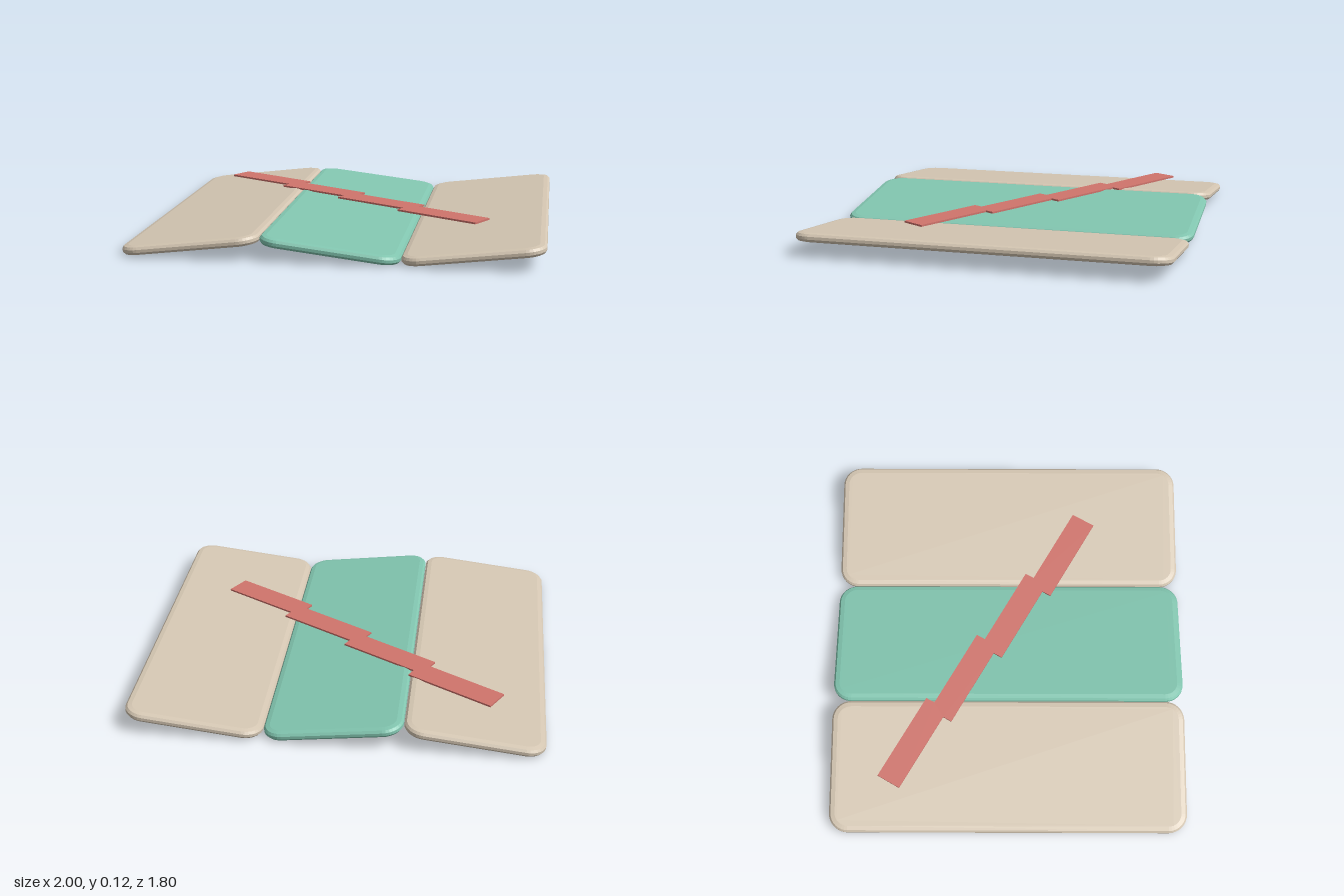
import * as THREE from 'three';

const WIDTH = 0.668, LENGTH = 1.8, THICK = 0.046, PITCH = 0.667, TILT = 0.118;

// Bevelled slab with rounded corners, lying flat and centred on the origin
function panelGeometry() {
  const inset = 0.03, bevel = 0.016, r = 0.065;
  const w = WIDTH / 2 - inset, l = LENGTH / 2 - inset;
  const s = new THREE.Shape();
  s.moveTo(-w + r, -l);
  s.lineTo(w - r, -l);
  s.absarc(w - r, -l + r, r, -Math.PI / 2, 0);
  s.lineTo(w, l - r);
  s.absarc(w - r, l - r, r, 0, Math.PI / 2);
  s.lineTo(-w + r, l);
  s.absarc(-w + r, l - r, r, Math.PI / 2, Math.PI);
  s.lineTo(-w, -l + r);
  s.absarc(-w + r, -l + r, r, Math.PI, Math.PI * 1.5);
  const depth = THICK - 2 * bevel;
  const g = new THREE.ExtrudeGeometry(s, {
    depth, bevelEnabled: true, bevelThickness: bevel, bevelSize: inset,
    bevelSegments: 2, curveSegments: 4,
  });
  g.translate(0, 0, -depth / 2);
  g.rotateX(-Math.PI / 2);
  return g;
}

// Stepped diagonal ribbon: four equal lengths, each shifted sideways
function ribbonGeometry() {
  const count = 4, halfL = 0.235, halfW = 0.063, step = 0.427, shift = -0.048;
  const upper = [], lower = [];
  for (let i = 0; i < count; i++) {
    const a = (i - (count - 1) / 2) * step, c = (i - (count - 1) / 2) * shift;
    const last = i === count - 1, first = i === 0;
    // upper edge steps at each length's end, lower edge at its start
    upper.push([first ? a - halfL : a - step + halfL, c + halfW], [a + halfL, c + halfW]);
    lower.push([a - halfL, c - halfW], [last ? a + halfL : a + step - halfL, c - halfW]);
  }
  const outline = [...lower, ...upper.reverse()].map(([x, y]) => new THREE.Vector2(x, y));
  const g = new THREE.ExtrudeGeometry(new THREE.Shape(outline), { depth: 0.009, bevelEnabled: false });
  g.rotateX(-Math.PI / 2);
  g.rotateY(-Math.PI / 6);
  return g;
}

export function createModel() {
  const beige = new THREE.MeshStandardMaterial({ color: 0xd4c6b2 });
  beige.name = 'beige';
  const teal = new THREE.MeshStandardMaterial({ color: 0x82c6b0 });
  teal.name = 'teal';
  const red = new THREE.MeshStandardMaterial({ color: 0xd0746c });
  red.name = 'red';

  const group = new THREE.Group();
  group.name = 'foldedMap';

  // Three panels tilted alternately like a zigzag fold
  const geometry = panelGeometry();
  ['rightPanel', 'middlePanel', 'leftPanel'].forEach((name, i) => {
    const panel = new THREE.Mesh(geometry, i === 1 ? teal : beige);
    panel.name = name;
    panel.position.set((i - 1) * PITCH, 0.059, 0);
    panel.rotation.z = i === 1 ? -TILT : TILT;
    group.add(panel);
  });

  // Route ribbon resting on the fold
  const ribbon = new THREE.Mesh(ribbonGeometry(), red);
  ribbon.name = 'routeRibbon';
  ribbon.position.set(-0.04, 0.113, -0.1);
  group.add(ribbon);

  return group;
}
